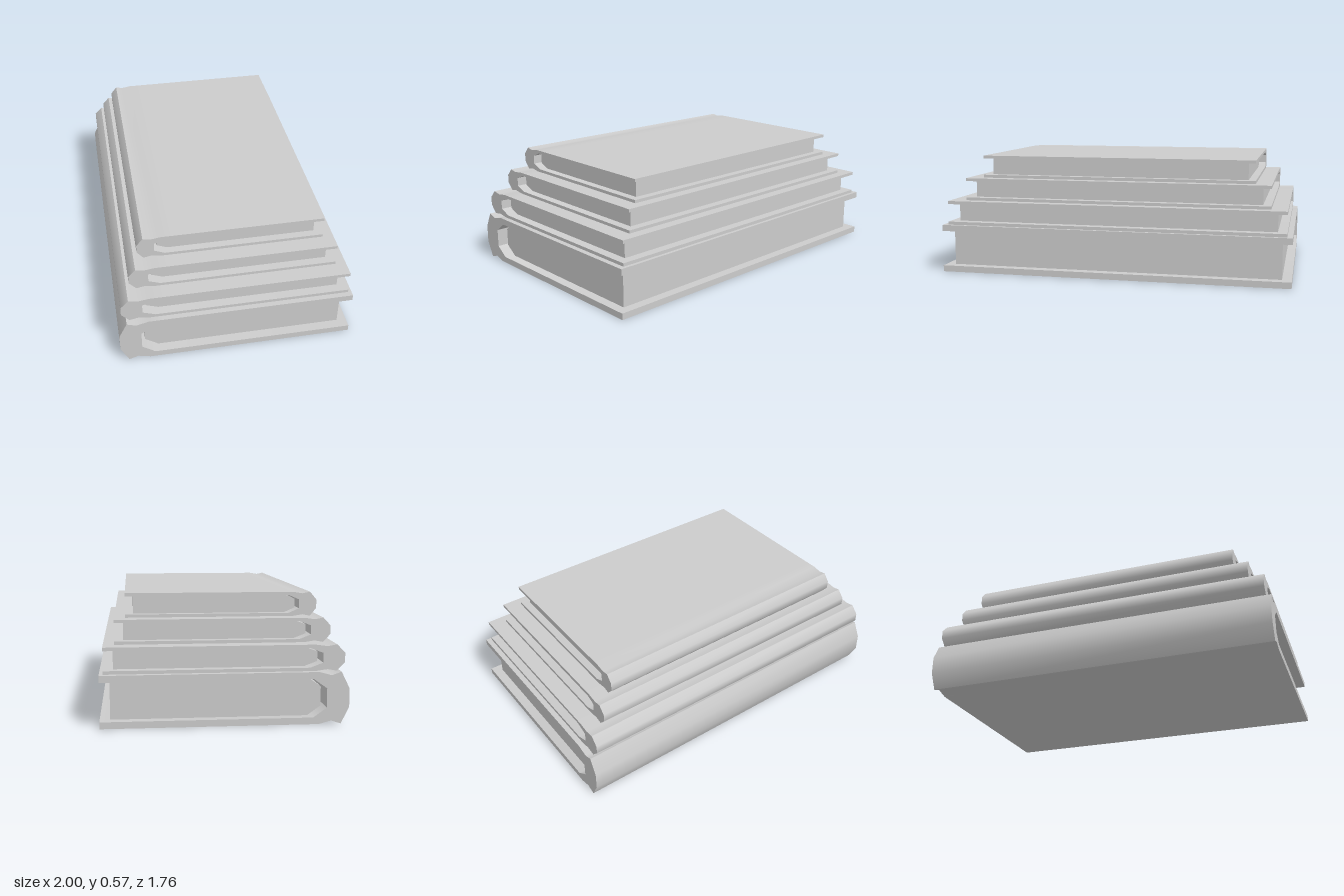
import * as THREE from 'three';
import { toCreasedNormals } from 'three/addons/utils/BufferGeometryUtils.js';

const LENGTH = 1.69, DEPTH = 1.09, H = 0.232; // largest book: spine length, spine to fore edge, height
const INSET = 0.045;                          // how far the covers overhang the pages
const BOARD = 0.03;                           // cover thickness

const material = new THREE.MeshStandardMaterial({ color: 0xcccccc });

// Extrude a cross-section (x = distance from spine, y = height) along the book
function extrudeAlong(points, length) {
  const shape = new THREE.Shape(points.map(([x, y]) => new THREE.Vector2(x - DEPTH / 2, y)));
  const geometry = new THREE.ExtrudeGeometry(shape, { depth: length, bevelEnabled: false });
  geometry.translate(0, 0, -length / 2);
  geometry.rotateY(Math.PI / 2);
  return toCreasedNormals(geometry, 0.65);
}

// Complete a lower half profile with its mirror image about mid height
const mirrored = (half) => [...half, ...half.map(([x, y]) => [x, H - y]).reverse()];

// Hard cover: bevelled spine and hinge grooves outside, chamfered hollow inside
const outer = mirrored([[DEPTH, 0], [0.2, 0], [0.135, 0], [0.08, 0.015], [0.037, 0], [0, 0.075]]);
const inner = mirrored([[DEPTH, BOARD], [0.16, BOARD], [0.1, 0.073]]).reverse();
const coverGeometry = extrudeAlong([...outer, ...inner], LENGTH);

// Page block with the same chamfer towards the spine
const pagesGeometry = extrudeAlong(
  mirrored([[DEPTH - INSET, BOARD], [0.178, BOARD], [0.118, 0.073]]),
  LENGTH - 2 * INSET
);

function createBook(name, planScale, height) {
  const book = new THREE.Group();
  book.name = name;
  const cover = new THREE.Mesh(coverGeometry, material);
  cover.name = 'cover';
  const pages = new THREE.Mesh(pagesGeometry, material);
  pages.name = 'pages';
  book.add(cover, pages);
  book.scale.set(planScale, height / H, planScale);
  return book;
}

export function createModel() {
  const stack = new THREE.Group();
  stack.name = 'bookStack';

  // Books from bottom to top: name, plan scale, height
  const books = [
    ['bottomBook', 1, 0.232],
    ['secondBook', 0.97, 0.117],
    ['thirdBook', 0.88, 0.109],
    ['topBook', 0.79, 0.109],
  ];
  let y = 0;
  for (const [name, planScale, height] of books) {
    const book = createBook(name, planScale, height);
    book.position.y = y;
    y += height;
    stack.add(book);
  }

  // The whole stack is turned on its base
  stack.rotation.y = -0.494;
  const model = new THREE.Group();
  model.name = 'books';
  model.add(stack);
  return model;
}
